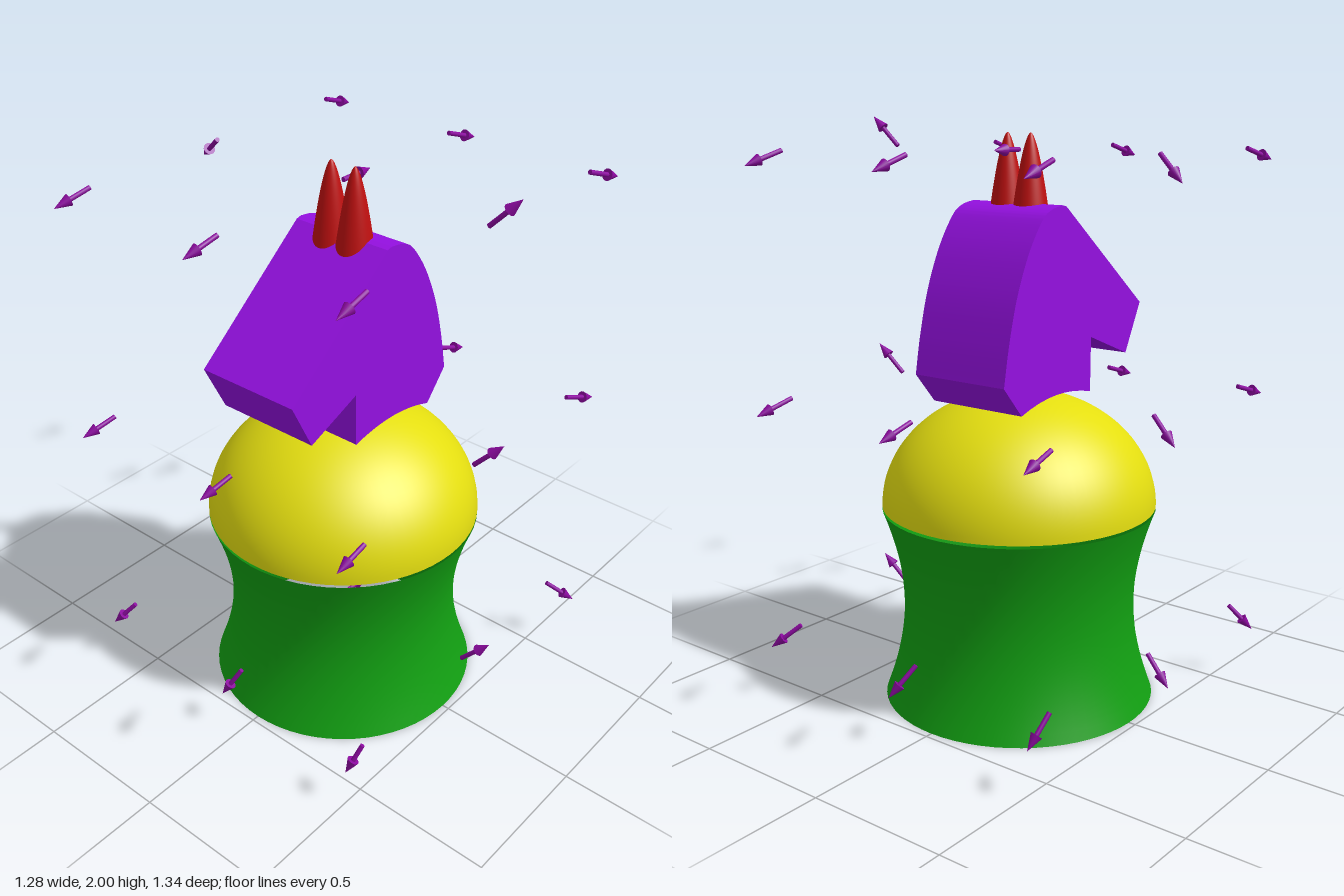
import * as THREE from 'three';
import { toCreasedNormals } from 'three/addons/utils/BufferGeometryUtils.js';

const paint = (color, open = false) =>
  new THREE.MeshStandardMaterial({ color, side: open ? THREE.DoubleSide : THREE.FrontSide });

// Open surface of revolution from a radius rule, t running 0..1 from bottom to top
function revolved(name, y0, y1, radius, material, steps = 32) {
  const points = [];
  for (let i = 0; i <= steps; i++) {
    const t = Math.sin((i / steps) * Math.PI / 2); // closer rings near the top
    points.push(new THREE.Vector2(radius(t), y0 + (y1 - y0) * t));
  }
  const mesh = new THREE.Mesh(new THREE.LatheGeometry(points, 64), material);
  mesh.name = name;
  return mesh;
}

// Horse head: side profile drawn in (z, y), extruded across x
function makeHead() {
  const s = new THREE.Shape();
  s.moveTo(0.155, 1.087);
  s.quadraticCurveTo(-0.04, 1.137, -0.225, 1.07);
  s.lineTo(-0.315, 1.175);
  s.splineThru([[-0.29, 1.305], [-0.25, 1.45], [-0.19, 1.585], [-0.12, 1.685], [-0.07, 1.717], [-0.01, 1.728]]
    .map(([z, y]) => new THREE.Vector2(z, y)));
  s.lineTo(0.01, 1.723);
  s.lineTo(0.455, 1.36);
  s.lineTo(0.37, 1.19);
  s.lineTo(0.157, 1.275);
  s.closePath();
  const width = 0.374;
  const geo = new THREE.ExtrudeGeometry(s, { depth: width, bevelEnabled: false, curveSegments: 8 });
  geo.translate(0, 0, -width / 2);
  geo.rotateY(-Math.PI / 2); // profile x becomes +z
  const mesh = new THREE.Mesh(toCreasedNormals(geo, 0.4), paint(0x9410e0));
  mesh.name = 'head';
  return mesh;
}

// Field arrow from a start point along a displacement
function makeArrow(start, step, material) {
  const length = step.length(), tip = 0.055;
  const arrow = new THREE.Group();
  arrow.name = 'fieldArrow';
  const shaft = new THREE.Mesh(new THREE.CylinderGeometry(0.008, 0.008, length - tip, 12), material);
  shaft.name = 'arrowShaft';
  shaft.position.y = (length - tip) / 2;
  const head = new THREE.Mesh(new THREE.ConeGeometry(0.02, tip, 16), material);
  head.name = 'arrowHead';
  head.position.y = length - tip / 2;
  arrow.add(shaft, head);
  arrow.position.copy(start);
  arrow.quaternion.setFromUnitVectors(new THREE.Vector3(0, 1, 0), step.clone().normalize());
  return arrow;
}

export function createModel() {
  const model = new THREE.Group();

  // Waisted base and domed shoulders
  model.add(revolved('base', 0, 0.685, t => {
    const u = (t - 0.5) * 2;
    return Math.sqrt(0.405 ** 2 + (0.475 ** 2 - 0.405 ** 2) * u * u);
  }, paint(0x12a012, true)));
  model.add(revolved('dome', 0.695, 1.09, t => 0.475 * Math.sqrt(Math.max(0, 1 - t * t)), paint(0xe4de10, true)));

  model.add(makeHead());

  // Pair of pointed ears
  const red = paint(0xc01010, true);
  for (const side of [-1, 1]) {
    const ear = revolved(side > 0 ? 'leftEar' : 'rightEar', 1.68, 1.955, t => 0.063 * Math.pow(Math.max(0, 1 - t), 0.6), red);
    ear.position.x = side * 0.048;
    model.add(ear);
  }

  // Arrow directions per layer; rows run back to front, columns run -x to +x
  const upper = [
    [[0, -0.045, -0.13], [0.015, -0.045, -0.13], [0.03, -0.045, -0.13]],
    [[-0.1, -0.085, -0.03], [0, 0, -0.13], [0.095, 0.1, -0.02]],
    [[-0.03, -0.04, 0.12], [-0.02, -0.04, 0.12], [-0.005, -0.04, 0.12]],
  ];
  const lower = [
    [[0.02, -0.1, -0.085], [0.05, -0.1, -0.08], [0.08, -0.08, -0.07]],
    upper[1],
    [[-0.07, -0.09, 0.05], [-0.055, -0.11, 0.045], [-0.03, -0.105, 0.05]],
  ];
  const violet = paint(0x8c0aa0);
  const arrows = new THREE.Group();
  arrows.name = 'arrowField';
  [[0.27, lower], [1.085, upper], [1.9, upper]].forEach(([y, layer]) =>
    layer.forEach((row, k) => row.forEach((d, i) =>
      arrows.add(makeArrow(new THREE.Vector3((i - 1) * 0.543, y, (k - 1) * 0.543), new THREE.Vector3(...d), violet)))));
  model.add(arrows);
  return model;
}
